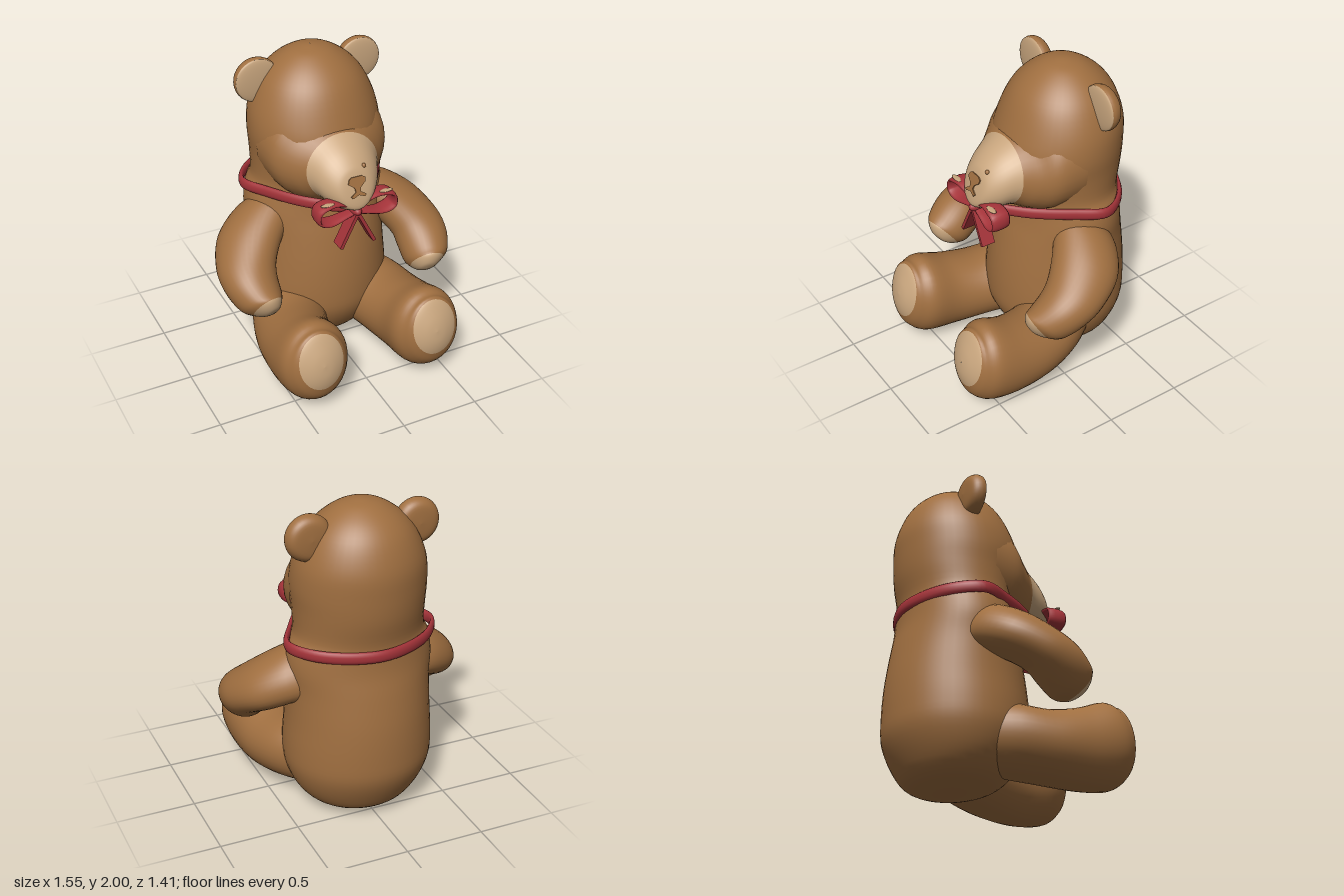
import * as THREE from 'three';

const brown = new THREE.MeshStandardMaterial({ color: 0xa06f40 });
brown.name = 'brownFur';
const tan = new THREE.MeshStandardMaterial({ color: 0xc9a67e });
tan.name = 'tanFur';
const red = new THREE.MeshStandardMaterial({ color: 0xa6343a });
red.name = 'redRibbon';

// Smooth skin over elliptical rings [cx, cy, cz, Ax, By, Bz, Az], with half axes
// A = (Ax, 0, Az) and B = (0, By, Bz); rings from index tanFrom onward are tan.
function loft(name, rings, side = 1, tanFrom = Infinity, steps = 5, n = 36) {
  const at = (i, k) => (rings[Math.min(Math.max(i, 0), rings.length - 1)][k] ?? 0);
  const rows = [];
  for (let i = 0; i < rings.length; i++) {
    for (let s = 0; s < (i < rings.length - 1 ? steps : 1); s++) {
      const t = s / steps;
      rows.push([0, 1, 2, 3, 4, 5, 6].map((k) => {
        const p0 = at(i - 1, k), p1 = at(i, k), p2 = at(i + 1, k), p3 = at(i + 2, k);
        return p1 + 0.5 * t * (p2 - p0 + t * (2 * p0 - 5 * p1 + 4 * p2 - p3 + t * (3 * (p1 - p2) + p3 - p0)));
      }));
    }
  }
  const pos = [], index = [];
  for (const [cx, cy, cz, ax, by, bz, az] of rows) {
    for (let j = 0; j < n; j++) {
      const c = Math.cos((j / n) * Math.PI * 2), d = Math.sin((j / n) * Math.PI * 2);
      pos.push(cx * side + ax * c, cy + by * d, cz + bz * d + az * side * c);
    }
  }
  for (let i = 0; i < rows.length - 1; i++) {
    for (let j = 0; j < n; j++) {
      const a = i * n + j, b = i * n + ((j + 1) % n);
      index.push(a, b, a + n, b, b + n, a + n);
    }
  }
  const g = new THREE.BufferGeometry();
  g.setAttribute('position', new THREE.Float32BufferAttribute(pos, 3));
  g.setIndex(index);
  g.computeVertexNormals();
  const split = Math.min(Math.round(tanFrom * steps) * n * 6, index.length);
  g.addGroup(0, split, 0);
  if (split < index.length) g.addGroup(split, index.length - split, 1);
  const mesh = new THREE.Mesh(g, [brown, tan]);
  mesh.name = name;
  return mesh;
}

function part(name, geometry, material, x = 0, y = 0, z = 0) {
  const mesh = new THREE.Mesh(geometry, material);
  mesh.name = name;
  mesh.position.set(x, y, z);
  return mesh;
}

export function createModel() {
  const bear = new THREE.Group();
  bear.name = 'teddyBear';

  // Torso and head in one skin: [y, half width, z centre, half depth]
  const profile = [
    [0, 0.001, -0.29, 0.001], [0.008, 0.15, -0.29, 0.13], [0.05, 0.3, -0.28, 0.27],
    [0.15, 0.4, -0.265, 0.36], [0.3, 0.46, -0.26, 0.43], [0.45, 0.468, -0.26, 0.44],
    [0.65, 0.455, -0.265, 0.425], [0.85, 0.45, -0.27, 0.39], [1.0, 0.46, -0.275, 0.355],
    [1.12, 0.44, -0.28, 0.34], [1.2, 0.405, -0.275, 0.345], [1.35, 0.405, -0.27, 0.38],
    [1.5, 0.415, -0.265, 0.395], [1.65, 0.395, -0.285, 0.37], [1.8, 0.33, -0.295, 0.31],
    [1.9, 0.245, -0.3, 0.23], [1.97, 0.14, -0.3, 0.13], [1.995, 0.05, -0.3, 0.05],
    [2.0, 0.001, -0.3, 0.001],
  ];
  bear.add(loft('bodyAndHead', profile.map(([y, a, z, b]) => [0, y, z, a, 0, -b]), 1, Infinity, 4, 48));

  // Muzzle with tan front, its brown base forming the cheeks
  bear.add(loft('muzzle', [
    [0, 1.44, -0.2, 0.41, 0.38, 0], [0, 1.41, -0.04, 0.385, 0.335, -0.01],
    [0, 1.385, 0.06, 0.315, 0.262, -0.025], [0, 1.38, 0.145, 0.238, 0.213, -0.03],
    [0, 1.345, 0.25, 0.185, 0.18, -0.03], [0, 1.325, 0.315, 0.135, 0.14, -0.03],
    [0, 1.315, 0.345, 0.085, 0.1, -0.028], [0, 1.31, 0.356, 0.001, 0.001, 0],
  ], 1, 3));

  // Nose and mouth as one thin plate
  const noseShape = new THREE.Shape([
    [-0.05, 0.05], [-0.035, 0.063], [0.035, 0.063], [0.058, 0.05], [0.055, 0.025], [0.02, -0.005],
    [0.016, -0.03], [0.05, -0.052], [0.04, -0.066], [0, -0.05], [-0.04, -0.066], [-0.05, -0.052],
    [-0.016, -0.03], [-0.02, -0.005], [-0.058, 0.025],
  ].map(([x, y]) => new THREE.Vector2(x, y)));
  const nose = part('noseAndMouth',
    new THREE.ExtrudeGeometry(noseShape, { depth: 0.008, bevelEnabled: false }), brown, 0, 1.345, 0.344);
  nose.rotation.x = -0.34;
  bear.add(nose);

  // Small stitched mark above the nose
  bear.add(part('faceMark', new THREE.SphereGeometry(0.014, 12, 8), brown, 0.07, 1.445, 0.288));

  for (const side of [1, -1]) {
    const label = side > 0 ? 'left' : 'right';

    // Legs with tan soles
    bear.add(loft(label + 'Leg', [
      [0.2, 0.3, -0.32, 0.16, 0.17, 0], [0.27, 0.285, -0.1, 0.245, 0.215, 0],
      [0.345, 0.258, 0.13, 0.245, 0.222, 0], [0.383, 0.27, 0.35, 0.23, 0.25, -0.02],
      [0.386, 0.315, 0.53, 0.227, 0.268, -0.04], [0.39, 0.345, 0.615, 0.19, 0.225, -0.05],
      [0.39, 0.385, 0.655, 0.147, 0.178, -0.045], [0.388, 0.375, 0.69, 0.07, 0.085, -0.02],
      [0.387, 0.375, 0.7, 0.001, 0.001, 0],
    ], side, 6));

    // Arms with sloping shoulders and tan paws
    bear.add(loft(label + 'Arm', [
      [0.2, 0.97, -0.25, 0.1, 0.15, 0.08, -0.13], [0.36, 0.935, -0.225, 0.14, 0.155, 0.085, -0.125],
      [0.505, 0.85, -0.13, 0.172, 0.142, 0.095, -0.105], [0.588, 0.75, 0, 0.178, 0.122, 0.1, -0.05],
      [0.6, 0.67, 0.1, 0.17, 0.12, 0.1, 0], [0.578, 0.595, 0.2, 0.14, 0.115, 0.09, 0.02],
      [0.553, 0.58, 0.262, 0.09, 0.097, 0.065, 0.02], [0.54, 0.568, 0.295, 0.045, 0.047, 0.032, 0.01],
      [0.537, 0.565, 0.302, 0.001, 0.001, 0, 0],
    ], side, 5.8));

    // Ears: cushion-shaped brown back, shallow tan front
    const ear = new THREE.Group();
    ear.name = label + 'Ear';
    const cushion = new THREE.SplineCurve(
      [[0.14, 0], [0.143, 0.025], [0.128, 0.06], [0.09, 0.082], [0, 0.09]].map(([r, h]) => new THREE.Vector2(r, h)));
    ear.add(part('earBack', new THREE.LatheGeometry(cushion.getPoints(16), 32).rotateX(-Math.PI / 2), brown));
    const dome = new THREE.SphereGeometry(0.14, 32, 8, 0, Math.PI * 2, 0, Math.PI / 2);
    ear.add(part('earFront', dome.rotateX(Math.PI / 2).scale(1, 1, 0.15), tan));
    ear.position.set(side * 0.342, 1.82, -0.315);
    bear.add(ear);

    // Bow loop: flat ribbon turned edge-on to the front, narrowing to the knot
    const loop = new THREE.CatmullRomCurve3([
      [0, 1.17], [0.08, 1.235], [0.17, 1.257], [0.245, 1.23], [0.25, 1.16], [0.18, 1.13], [0.08, 1.145],
    ].map(([x, y]) => new THREE.Vector3(side * x, y, 0)), true);
    const ribbon = new THREE.TubeGeometry(loop, 48, 0.014, 10, true).scale(1, 1, 4.6);
    const p = ribbon.attributes.position;
    for (let i = 0; i < p.count; i++) {
      p.setZ(i, p.getZ(i) * (0.5 + 0.5 * Math.min(1, Math.abs(p.getX(i)) / 0.2)));
    }
    bear.add(part(label + 'BowLoop', ribbon, red, 0, 0, 0.315));

    // Worn tan patch on top of the loop, and the hanging tail
    const patch = new THREE.SphereGeometry(1, 16, 8).scale(0.045, 0.004, 0.02);
    bear.add(part(label + 'BowPatch', patch, tan, side * 0.195, 1.268, 0.343));
    const tail = part(label + 'BowTail', new THREE.BoxGeometry(0.022, 0.25, 0.09), red, side * 0.057, 1.055, 0.32);
    tail.rotation.z = side * 0.46;
    bear.add(tail);
  }
  bear.add(part('bowKnot', new THREE.SphereGeometry(0.034, 16, 12).scale(1, 1, 1.9), red, 0, 1.175, 0.315));

  // Neck ribbon, sagging slightly at the back
  const path = [[0, 0.27], [0.2, 0.13], [0.385, -0.13], [0.468, -0.31], [0.38, -0.465], [0.2, -0.58], [0, -0.625],
    [-0.2, -0.58], [-0.38, -0.465], [-0.468, -0.31], [-0.385, -0.13], [-0.2, 0.13]];
  const stretch = 2.2;
  const neck = new THREE.CatmullRomCurve3(
    path.map(([x, z]) => new THREE.Vector3(x, (1.16 + 0.045 * z) / stretch, z)), true);
  bear.add(part('neckRibbon', new THREE.TubeGeometry(neck, 96, 0.018, 10, true).scale(1, stretch, 1), red));

  return bear;
}
